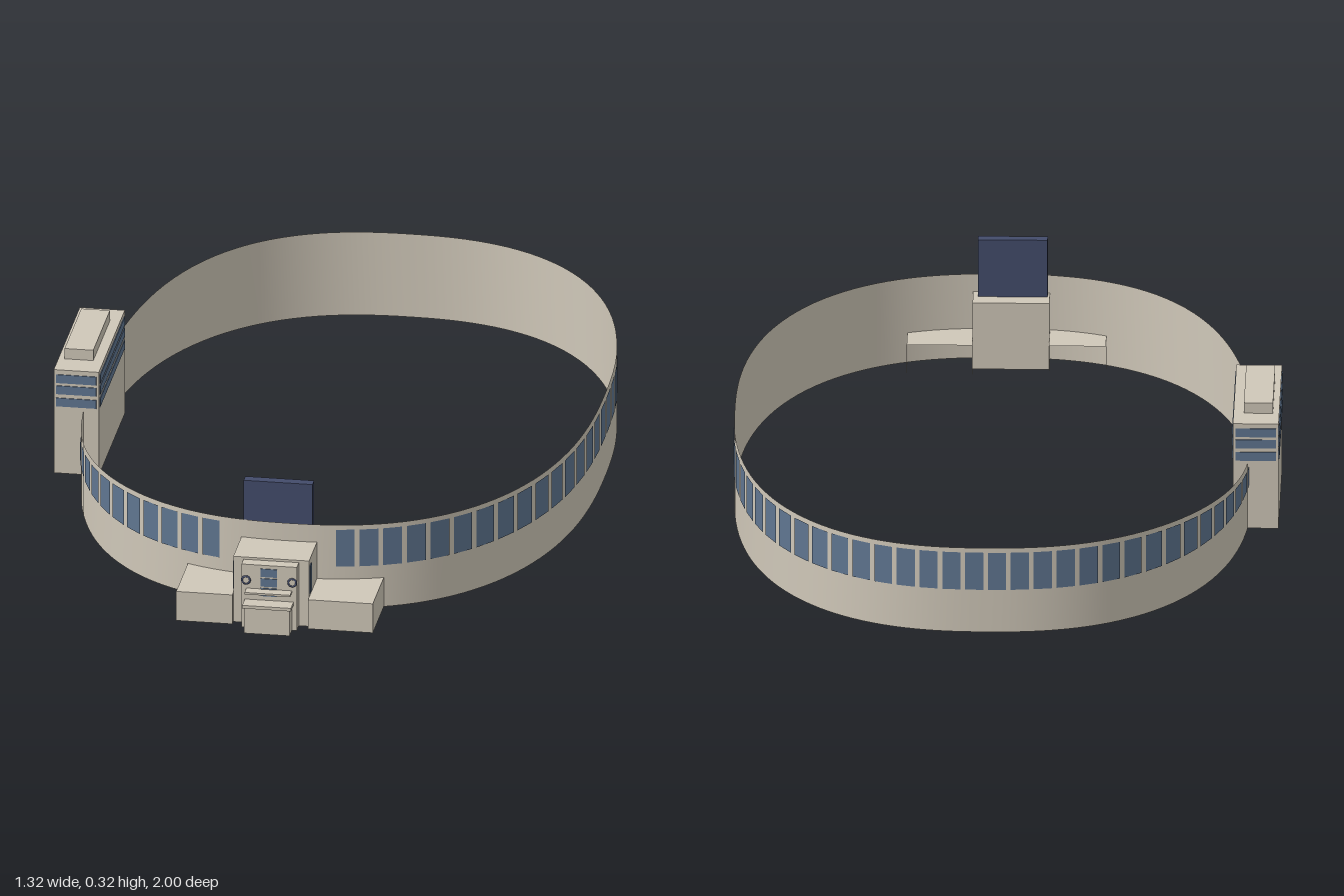
import * as THREE from 'three';

const mat = (name, color, side = THREE.FrontSide) => {
  const m = new THREE.MeshStandardMaterial({ color, side });
  m.name = name;
  return m;
};

export function createModel() {
  const model = new THREE.Group();
  model.name = 'stadium';
  const stone = mat('stone', 0xcfc7b8, THREE.DoubleSide);
  const glass = mat('windowBlue', 0x5f7590);
  const navy = mat('scoreboardNavy', 0x434c6b);

  const add = (name, geometry, material, parent = model) => {
    const mesh = new THREE.Mesh(geometry, material);
    mesh.name = name;
    parent.add(mesh);
    return mesh;
  };

  // Box from its limits; faces listed in open (0..5 = +x -x +y -y +z -z) are left out
  const block = (name, [x0, x1], [y0, y1], [z0, z1], material, parent = model, open = []) => {
    const g = new THREE.BoxGeometry(x1 - x0, y1 - y0, z1 - z0);
    g.translate((x0 + x1) / 2, (y0 + y1) / 2, (z0 + z1) / 2);
    const index = Array.from(g.index.array).filter((_, i) => !open.includes(Math.floor(i / 6)));
    g.clearGroups();
    g.setIndex(index);
    return add(name, g, material, parent);
  };

  // Bowl outline: a squarish oval, lower on the tower side
  const CX = 0.031, CZ = -0.093, A = 0.624, B = 0.907, N = 2.4;
  const outline = (t, grow = 0) => {
    const c = Math.cos(t), s = Math.sin(t);
    const k = (Math.abs(c) ** N + Math.abs(s) ** N) ** (-1 / N);
    const v = Math.min(1, Math.abs(s * k));
    const drop = c < 0 ? 0.055 * Math.cos(v * Math.PI / 2) ** 2 : 0;
    return { x: CX + (A * k + grow) * c, z: CZ + (B * k + grow) * s, top: 0.217 - drop };
  };

  const surface = (positions, index) => {
    const g = new THREE.BufferGeometry();
    g.setAttribute('position', new THREE.Float32BufferAttribute(positions, 3));
    g.setIndex(index);
    g.computeVertexNormals();
    return g;
  };

  // Thin outer wall
  const SEG = 144, wallPos = [], wallIndex = [];
  for (let i = 0; i < SEG; i++) {
    const p = outline(i / SEG * Math.PI * 2);
    wallPos.push(p.x, 0, p.z, p.x, p.top, p.z);
    const a = i * 2, b = ((i + 1) % SEG) * 2;
    wallIndex.push(b, a, a + 1, b, a + 1, b + 1);
  }
  add('outerWall', surface(wallPos, wallIndex), stone);

  // Window band, interrupted at the entrance
  const COUNT = 72, winPos = [], winIndex = [], step = Math.PI * 2 / COUNT;
  for (let i = 0; i < COUNT; i++) {
    const mid = outline((i + 0.5) * step);
    if (mid.z > 0 && Math.abs(mid.x) < 0.14) continue;
    const p = outline((i + 0.1) * step, 0.003), q = outline((i + 0.9) * step, 0.003);
    const n = winPos.length / 3;
    winPos.push(q.x, 0.11, q.z, p.x, 0.11, p.z, p.x, p.top - 0.011, p.z, q.x, q.top - 0.011, q.z);
    winIndex.push(n, n + 1, n + 2, n, n + 2, n + 3);
  }
  add('wallWindows', surface(winPos, winIndex), glass);

  // Press tower with window strips on all four sides
  const tower = new THREE.Group();
  tower.name = 'pressTower';
  model.add(tower);
  block('towerBody', [-0.66, -0.55], [0, 0.27], [-0.3, 0.09], stone, tower, [3]);
  block('towerRoof', [-0.645, -0.575], [0.27, 0.297], [-0.23, 0.02], stone, tower, [3]);
  for (const y of [0.175, 0.207, 0.236]) {
    const h = [y, y + 0.022];
    for (const z of [-0.3, 0.09]) {
      block('towerEndWindow', [-0.654, -0.556], h, [z - 0.002, z + 0.002], glass, tower);
    }
    for (const x of [-0.66, -0.55]) {
      block('towerSideWindow', [x - 0.002, x + 0.002], h, [-0.288, 0.078], glass, tower);
    }
  }

  // Entrance: low wings, tall hall and projecting front
  const entrance = new THREE.Group();
  entrance.name = 'entrance';
  model.add(entrance);
  block('rightWing', [-0.222, -0.085], [0, 0.076], [0.7, 0.945], stone, entrance, [3, 5]);
  block('leftWing', [0.1, 0.258], [0, 0.076], [0.7, 0.945], stone, entrance, [3, 5]);
  block('hall', [-0.085, 0.1], [0, 0.171], [0.738, 0.93], stone, entrance, [3]);
  block('hallFront', [-0.06, 0.075], [0, 0.165], [0.93, 0.96], stone, entrance, [3, 5]);
  block('porch', [-0.048, 0.063], [0, 0.066], [0.96, 0.996], stone, entrance, [3]);
  block('porchRoof', [-0.052, 0.067], [0.066, 0.074], [0.96, 1.0], stone, entrance);
  block('ledge', [-0.048, 0.063], [0.098, 0.103], [0.96, 0.988], stone, entrance);

  // Entrance windows
  for (const [y0, y1] of [[0.085, 0.106], [0.11, 0.131], [0.135, 0.156]]) {
    block('frontWindow', [-0.014, 0.027], [y0, y1], [0.958, 0.962], glass, entrance);
  }
  for (const x of [-0.085, 0.1]) {
    block('hallSideWindow', [x - 0.002, x + 0.002], [0.083, 0.155], [0.902, 0.922], glass, entrance);
  }

  // Round medallions beside the front windows
  for (const x of [-0.049, 0.064]) {
    add('medallion', new THREE.TorusGeometry(0.0095, 0.0025, 8, 24), navy, entrance)
      .position.set(x, 0.125, 0.962);
    const disc = add('medallionFace', new THREE.CylinderGeometry(0.009, 0.009, 0.004, 24), stone, entrance);
    disc.rotation.x = Math.PI / 2;
    disc.position.set(x, 0.125, 0.961);
  }

  // Scoreboard standing on the hall roof
  block('scoreboard', [-0.08, 0.088], [0.171, 0.318], [0.78, 0.805], navy);

  return model;
}
